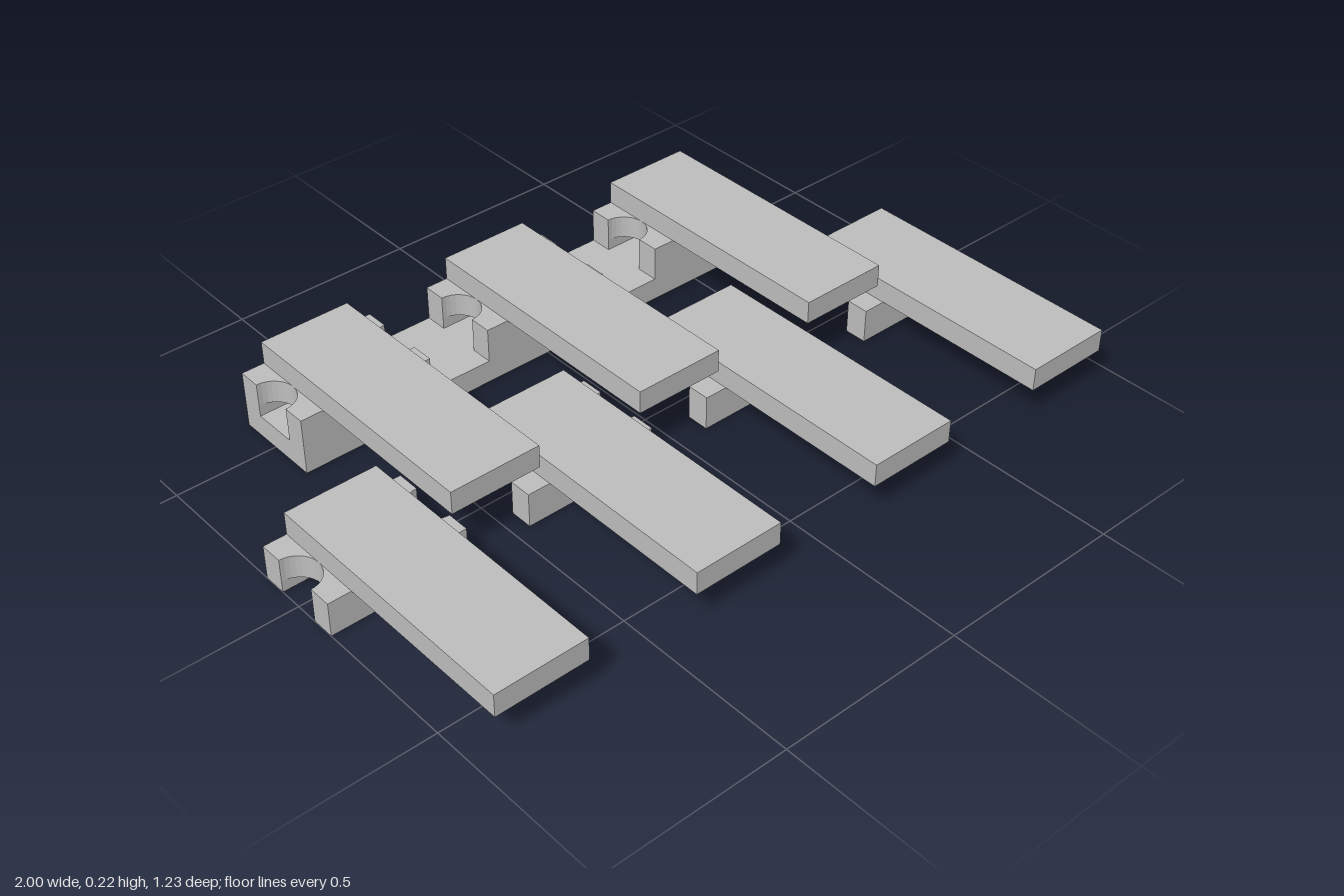
import * as THREE from 'three';

const U = 2 / 32.5;               // basic module of the design
const PITCH = (2 - 6 * U) / 3;    // spacing between neighbouring blocks

export function createModel() {
  const model = new THREE.Group();
  model.name = 'interlockingPlanks';
  const grey = new THREE.MeshStandardMaterial({ color: 0xbfbfbf });
  grey.name = 'plain grey';

  const add = (parent, geometry, name, x, y, z) => {
    const mesh = new THREE.Mesh(geometry, grey);
    mesh.name = name;
    mesh.position.set(x, y, z);
    parent.add(mesh);
  };

  // web plate with a half-round notch in each end
  const s = new THREE.Shape();
  s.moveTo(-3 * U, -2 * U);
  s.lineTo(3 * U, -2 * U);
  s.lineTo(3 * U, -U);
  s.absarc(3 * U, 0, U, -Math.PI / 2, Math.PI / 2, true);
  s.lineTo(3 * U, 2 * U);
  s.lineTo(-3 * U, 2 * U);
  s.lineTo(-3 * U, U);
  s.absarc(-3 * U, 0, U, Math.PI / 2, -Math.PI / 2, true);
  s.lineTo(-3 * U, -2 * U);
  const webGeo = new THREE.ExtrudeGeometry(s, { depth: U, bevelEnabled: false, curveSegments: 8 });
  webGeo.rotateX(-Math.PI / 2);

  const railGeo = new THREE.BoxGeometry(6 * U, 0.5 * U, U);
  const plankGeo = new THREE.BoxGeometry(4 * U, U, 12 * U);

  // notched block with a channel underneath, carrying a long plank;
  // dir is the way the plank reaches out along z
  const unit = (name, x, y, z, dir) => {
    const g = new THREE.Group();
    g.name = name;
    g.position.set(x, y, z);
    for (const side of [-1, 1]) add(g, railGeo, 'rail', 0, 0.25 * U, side * 1.5 * U);
    add(g, webGeo, 'notchedBlock', 0, 0.5 * U, 0);
    add(g, plankGeo, 'plank', 0, 2 * U, dir * 4 * U);
    model.add(g);
  };

  // front row: four separate units
  for (let i = 0; i < 4; i++) unit('frontUnit', (i - 1.5) * PITCH, 0, 0, 1);

  // back row: three raised units on one common beam
  for (let i = -1; i <= 1; i++) unit('backUnit', i * PITCH, U, -8 * U, 1);
  add(model, new THREE.BoxGeometry(2 * PITCH + 6 * U, U, 4 * U), 'backBeam', 0, 0.5 * U, -8 * U);

  return model;
}
